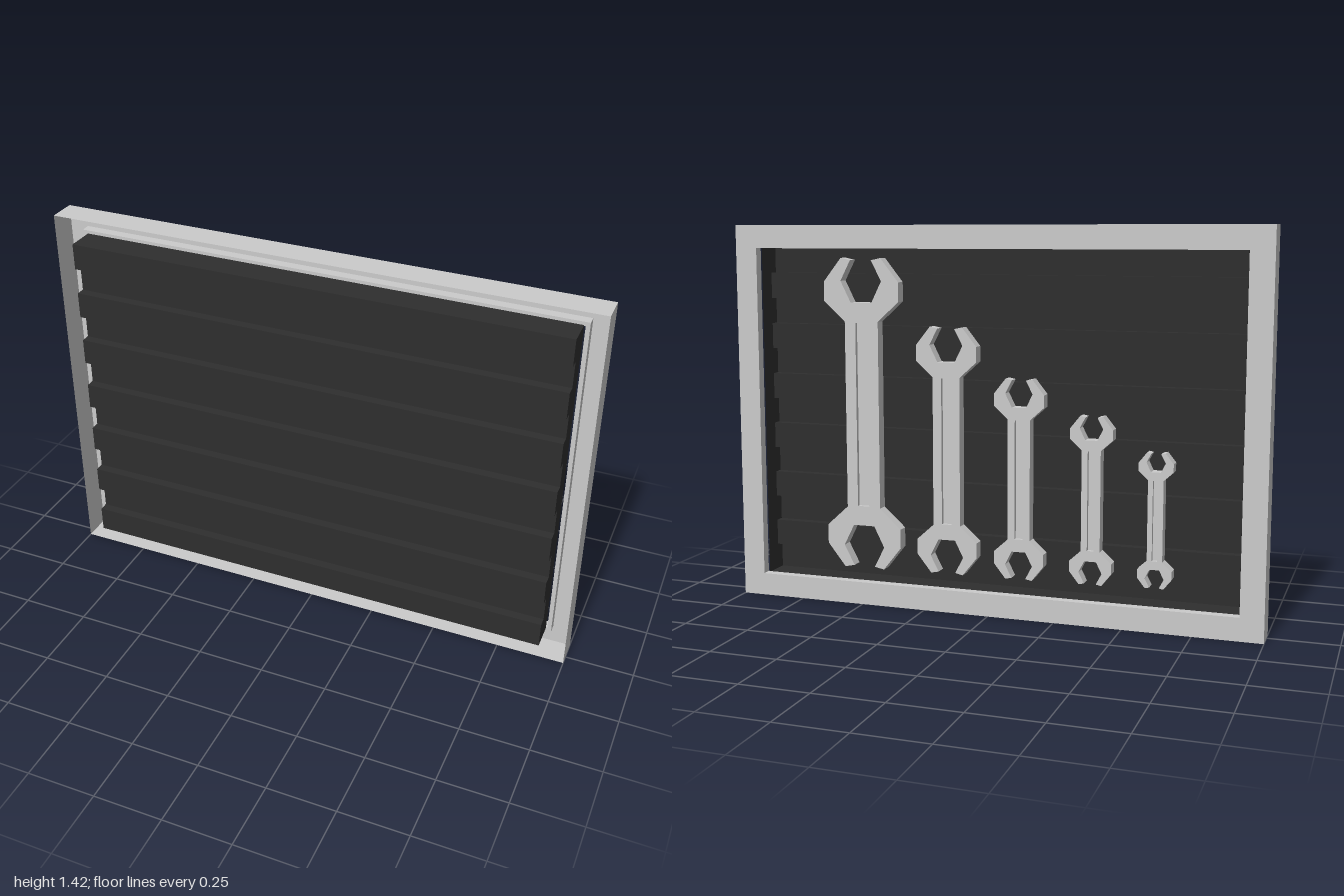
import * as THREE from 'three';

const metal = new THREE.MeshStandardMaterial({ color: 0xcccccc, side: THREE.DoubleSide, flatShading: true });
const dark = new THREE.MeshStandardMaterial({ color: 0x2e2e2e, side: THREE.DoubleSide, flatShading: true });

const H = 1.42, BACK = -0.07, LIP = -0.035, RIM = 0.035, RIDGE = 0.07;
const toVectors = (pts) => pts.map(([x, y]) => new THREE.Vector2(x, y));

function add(parent, name, geometry, material, x = 0, y = 0, z = 0) {
  const mesh = new THREE.Mesh(geometry, material);
  mesh.name = name;
  mesh.position.set(x, y, z);
  parent.add(mesh);
  return mesh;
}

// Corners of a rectangle inset from the frame outline, counter-clockwise
const rect = (inset) => {
  const x = 1 - inset;
  return [[-x, inset], [x, inset], [x, H - inset], [-x, H - inset]];
};

function ring(outer, inner) {
  const shape = new THREE.Shape(toVectors(rect(outer)));
  shape.holes.push(new THREE.Path(toVectors(rect(inner))));
  return shape;
}

// Open sheet: a profile in xy drawn out along z
function sheet(profile, length) {
  const g = new THREE.PlaneGeometry(1, 1, 1, profile.length - 1);
  const p = g.attributes.position;
  profile.forEach(([x, y], i) => {
    p.setXYZ(2 * i, x, y, -length / 2);
    p.setXYZ(2 * i + 1, x, y, length / 2);
  });
  const flat = g.toNonIndexed();
  flat.computeVertexNormals();
  return flat;
}

// Shallow tray frame, open at the front, with a raised lip round the window
function makeFrame() {
  const frame = new THREE.Group();
  frame.name = 'frame';
  const outline = rect(0);
  add(frame, 'frameWalls', sheet([...outline, outline[0]], RIM - BACK), metal, 0, 0, (RIM + BACK) / 2);
  add(frame, 'frameBack', new THREE.ShapeGeometry(ring(0, 0.07)), metal, 0, 0, BACK);
  const lip = new THREE.ExtrudeGeometry(ring(0.07, 0.085), { depth: LIP - BACK, bevelEnabled: false });
  add(frame, 'windowLip', lip, metal, 0, 0, BACK);
  return frame;
}

// Ribbed panel: hollow, open at the back, seven square ridges across the front
function makePanel() {
  const panel = new THREE.Group();
  panel.name = 'ribbedPanel';
  const top = 1.338, bottom = 0.082, bands = 13, step = (top - bottom) / bands;
  const profile = [[-LIP, top]];
  for (let i = 0; i < bands; i++) {
    const x = i % 2 ? -RIM : -RIDGE;
    profile.push([x, top - i * step], [x, top - (i + 1) * step]);
  }
  profile.push([-LIP, bottom]);
  add(panel, 'ribbedSheet', sheet(profile, 1.82), dark);
  for (const side of [-1, 1]) {
    add(panel, 'panelEnd', new THREE.ShapeGeometry(new THREE.Shape(toVectors(profile))), dark, 0, 0, side * 0.91);
  }
  panel.rotation.y = Math.PI / 2;
  return panel;
}

// Double open-ended spanner standing on y = 0, scaled in width and length
function makeSpanner(scale) {
  const L = 1.175 * scale;
  // upper right quarter: shaft, head, jaw tip, hexagonal mouth (x, distance from the end)
  const quarter = [[0.067, 0.235], [0.15, 0.16], [0.15, 0.088], [0.08, 0], [0.042, 0.008],
    [0.082, 0.085], [0.042, 0.165]].map(([x, d]) => [x * scale, d * scale]);
  const right = quarter.map(([x, d]) => [x, L - d]);
  const left = right.map(([x, y]) => [-x, y]).reverse();
  const upper = [...right, ...left];
  const lower = upper.map(([x, y]) => [-x, L - y]);
  const outline = toVectors([...upper, ...lower]);

  const grooved = new THREE.Shape(outline);
  const gx = 0.024 * scale, gy = 0.24 * scale;
  grooved.holes.push(new THREE.Path(toVectors([[-gx, gy], [gx, gy], [gx, L - gy], [-gx, L - gy]])));

  const spanner = new THREE.Group();
  const face = 0.015, body = 0.03;
  add(spanner, 'spannerFace', new THREE.ExtrudeGeometry(grooved, { depth: face, bevelEnabled: false }), metal);
  add(spanner, 'spannerBody',
    new THREE.ExtrudeGeometry(new THREE.Shape(outline), { depth: body, bevelEnabled: false }), metal, 0, 0, face);
  return spanner;
}

export function createModel() {
  const model = new THREE.Group();
  model.name = 'spannerBoard';
  model.add(makeFrame(), makePanel());

  // Row of spanners on the rear of the panel, large to small: x, base y, scale
  const row = [[0.516, 0.125, 1], [0.18, 0.13, 0.785], [-0.1, 0.132, 0.63], [-0.37, 0.136, 0.522], [-0.604, 0.143, 0.415]];
  row.forEach(([x, y, s], i) => {
    const spanner = makeSpanner(s);
    spanner.name = `spanner${i + 1}`;
    spanner.position.set(x, y, -0.011);
    model.add(spanner);
  });
  return model;
}
